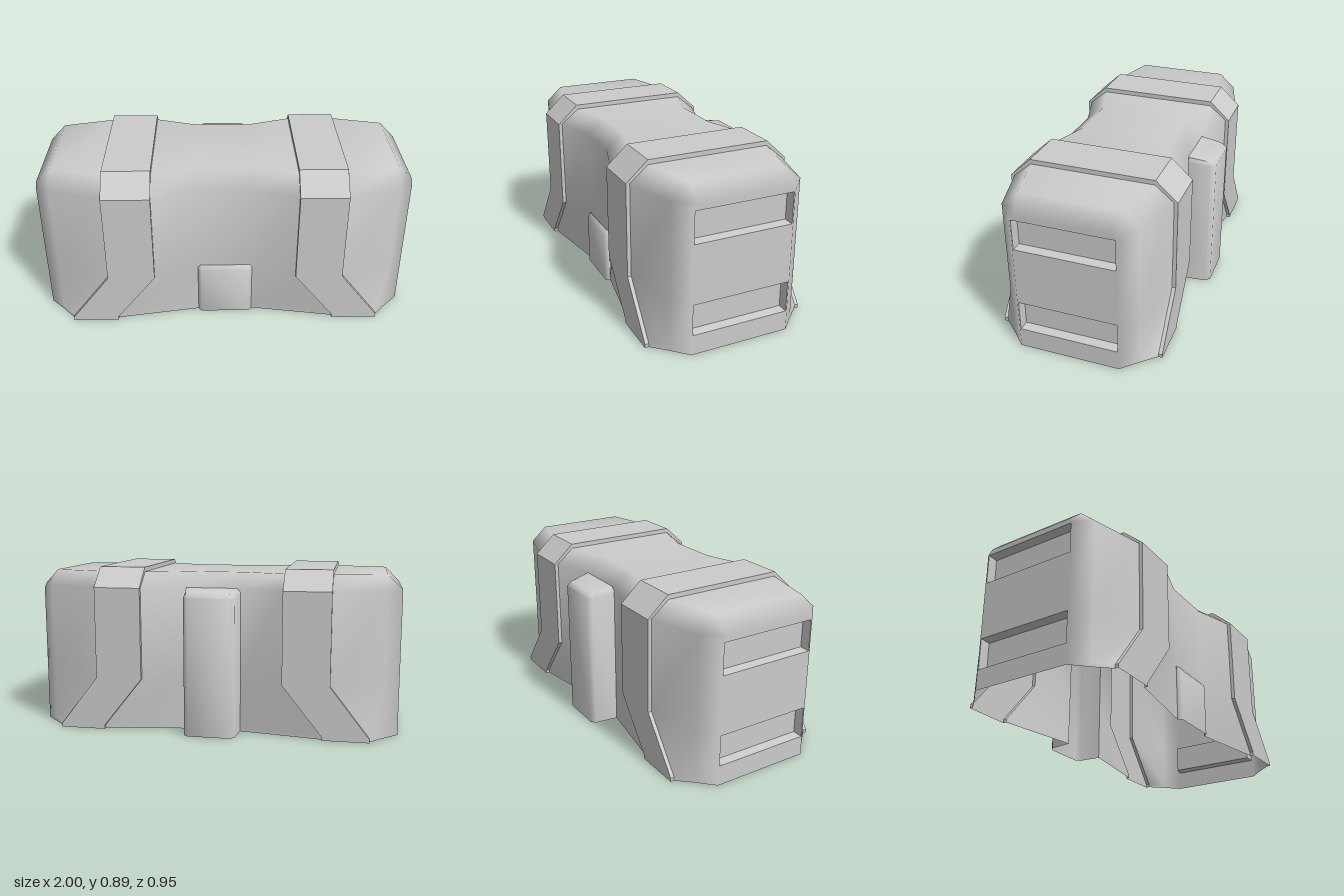
import * as THREE from 'three';
import { toCreasedNormals } from 'three/addons/utils/BufferGeometryUtils.js';

const material = new THREE.MeshStandardMaterial({ color: 0xcccccc, side: THREE.DoubleSide });

// Skin a row of cross-sections (arrays of [x, y, z]); skip(s, i) leaves openings.
function loft(sections, skip = () => false) {
  const n = sections[0].length, index = [];
  for (let s = 0; s < sections.length - 1; s++) {
    for (let i = 0; i < n - 1; i++) {
      if (skip(s, i)) continue;
      const a = s * n + i, b = a + n;
      index.push(a, b, b + 1, a, b + 1, a + 1);
    }
  }
  const g = new THREE.BufferGeometry();
  g.setAttribute('position', new THREE.Float32BufferAttribute(sections.flat(2), 3));
  g.setIndex(index);
  g.computeVertexNormals();
  return g;
}

function add(parent, name, geometry) {
  const mesh = new THREE.Mesh(geometry, material);
  mesh.name = name;
  parent.add(mesh);
  return mesh;
}

// Arch from front foot over the top to back foot; x flares from xTop to xFoot below the knee.
function arch(xTop, xFoot, half, topHalf, shoulder = 0.79, top = 0.87) {
  const front = [
    [xFoot, 0, half], [xFoot, 0.02, half], [xTop, 0.29, half],
    [xTop, shoulder, half], [xTop, top, topHalf],
  ];
  return [...front, ...front.map(([x, y, z]) => [x, y, -z]).reverse()];
}

const outer = arch(0.64, 0.85, 0.4275, 0.33);
const inner = arch(0.385, 0.6, 0.4275, 0.33);
const SLOTS = [[0.115, 0.27], [0.6, 0.755]];
const SLOT_HALF = 0.2575, RIM = 0.006, DEPTH = 0.05;

function rect(x, w, y0, y1) {
  return [[x, y0, w], [x, y1, w], [x, y1, -w], [x, y0, -w], [x, y0, w]];
}

// One end of the shell: raised strap, rounded end and slotted end face
function buildEnd() {
  const end = new THREE.Group();

  const strap = [
    inner,
    arch(0.385, 0.6, 0.4475, 0.333, 0.79, 0.895),
    arch(0.64, 0.85, 0.4475, 0.333, 0.79, 0.895),
    outer,
  ];
  add(end, 'strap', toCreasedNormals(loft(strap), 0.3));

  const rim = arch(1, 1, 0.27, 0.245, 0.765, 0.79);
  const shell = loft([outer, arch(0.92, 0.92, 0.35, 0.26), rim]);
  // Blend the rounded edge smoothly into the flat end face
  for (let i = 0; i < rim.length; i++) shell.attributes.normal.setXYZ(2 * rim.length + i, 1, 0, 0);
  add(end, 'endShell', shell);

  const face = new THREE.Shape(rim.map(([, y, z]) => new THREE.Vector2(z, y)));
  for (const [y0, y1] of SLOTS) {
    const loop = rect(1, SLOT_HALF + RIM, y0 - RIM, y1 + RIM);
    face.holes.push(new THREE.Path(loop.slice(0, 4).map(([, y, z]) => new THREE.Vector2(z, y))));

    // Recessed slot walls and floor
    const walls = loft([loop, rect(1 - DEPTH, SLOT_HALF, y0, y1)]);
    add(end, 'slotWalls', toCreasedNormals(walls, 0.5));
    const floor = new THREE.PlaneGeometry(2 * SLOT_HALF, y1 - y0);
    floor.rotateY(Math.PI / 2).translate(1 - DEPTH, (y0 + y1) / 2, 0);
    add(end, 'slotFloor', floor);
  }
  add(end, 'endFace', new THREE.ShapeGeometry(face).rotateY(Math.PI / 2).translate(1, 0, 0));
  return end;
}

// Bevelled block standing out from the waist wall, open towards the inside
function block(depth, edgeHalf, bevel, yEdge, yTop, yWall) {
  const wall = 0.355;
  const row = (y, inset) => {
    const side = [
      [0.15, y, wall],
      [edgeHalf - inset * 0.4, y, depth - bevel - inset],
      [edgeHalf - bevel, y, depth - inset],
    ];
    return [...side, ...side.map(([x, yy, z]) => [-x, yy, z]).reverse()];
  };
  const roof = row(yTop, bevel).map(([x]) => [x, yWall, wall]);
  const rows = [row(0, 0), row(yEdge, 0), row(yTop, bevel), roof];
  return toCreasedNormals(loft(rows), 0.9);
}

export function createModel() {
  const model = new THREE.Group();
  model.name = 'barrier';
  const body = new THREE.Group();
  body.name = 'body';
  body.position.z = 0.0275;
  model.add(body);

  // Two matching ends
  ['left', 'right'].forEach((side, k) => {
    const end = buildEnd();
    end.name = side + 'End';
    end.rotation.y = k * Math.PI;
    body.add(end);
  });

  // Narrowed waist, open where the two blocks join it
  const flip = (section) => section.map(([x, y, z]) => [-x, y, z]);
  const waist = arch(0.15, 0.15, 0.355, 0.255);
  const open = (s, i) => s === 1 && (i < 2 || i > 5);
  add(body, 'waist', loft([flip(inner), flip(waist), waist, inner], open));

  // Short front block and tall back block
  add(body, 'frontBlock', block(0.3775, 0.15, 0.018, 0.29, 0.31, 0.29));
  add(body, 'backBlock', block(0.5025, 0.137, 0.022, 0.75, 0.77, 0.79)).rotation.y = Math.PI;

  return model;
}
